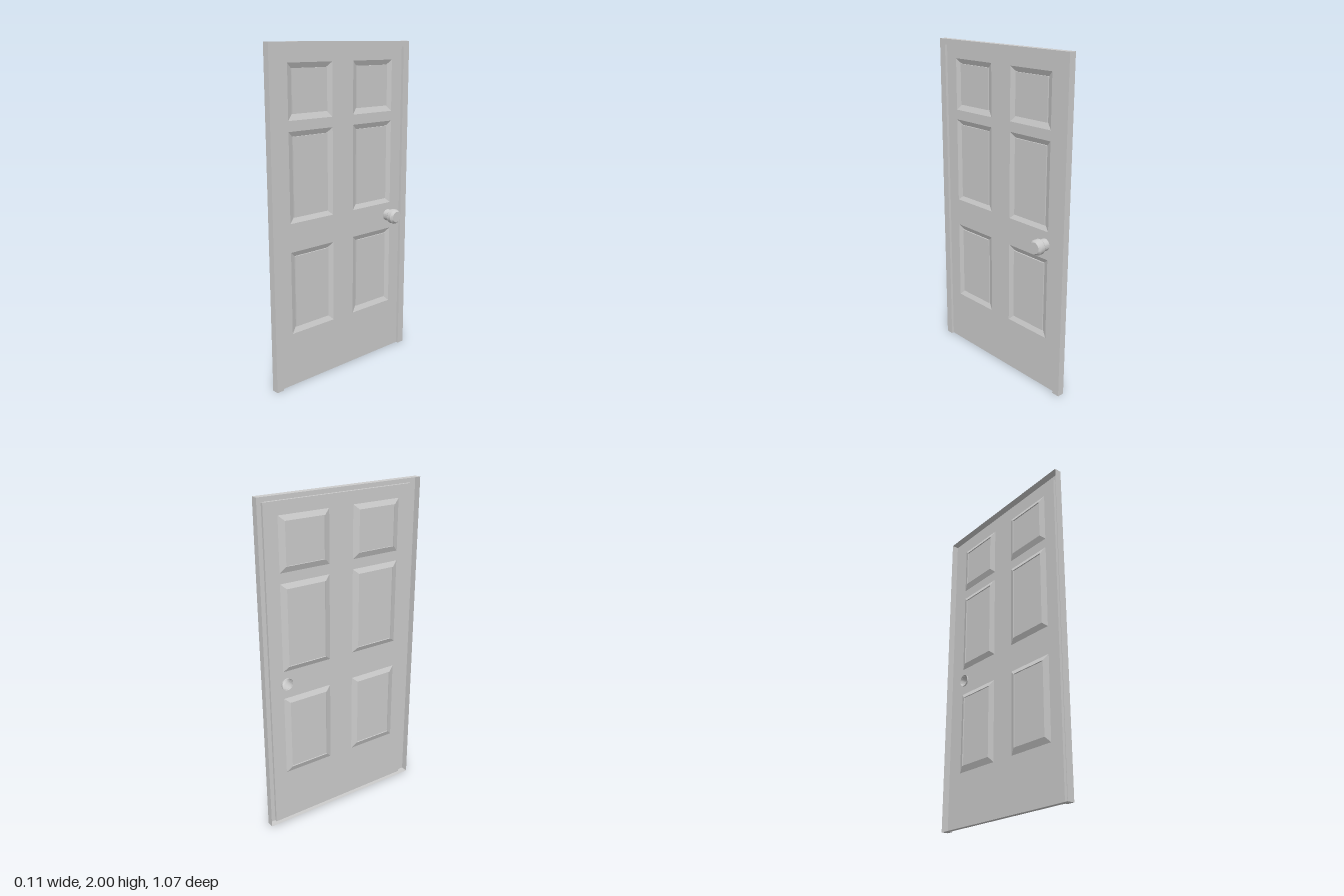
import * as THREE from 'three';
import { toCreasedNormals } from 'three/addons/utils/BufferGeometryUtils.js';

const material = new THREE.MeshStandardMaterial({ color: 0xcccccc, side: THREE.DoubleSide });

// Depths along x: open back, pressed door skin, groove, raised field, frame face
const BACK = -0.058, SKIN = -0.031, GROOVE = -0.045, FIELD = -0.037, FACE = -0.015;
const OUTER = { z0: -0.533, z1: 0.533, y0: 0, y1: 2 };
const INNER = { z0: -0.485, z1: 0.485, y0: 0, y1: 1.965 };
const KNOB = { y: 0.92, z: -0.378 };

// Corners of an upright rectangle at depth x, counter-clockwise seen from +x
const corners = (r, x) => [
  [x, r.y0, r.z1], [x, r.y0, r.z0], [x, r.y1, r.z0], [x, r.y1, r.z1],
];

// Flat geometry from a list of four-cornered faces
function fromQuads(quads) {
  const pos = quads.flatMap(([a, b, c, d]) => [a, b, c, a, c, d].flat());
  const geo = new THREE.BufferGeometry();
  geo.setAttribute('position', new THREE.Float32BufferAttribute(pos, 3));
  geo.computeVertexNormals();
  return geo;
}

// Band of faces joining two rectangles; sides: 0 bottom, 1 right, 2 top, 3 left
function band(a, b, sides = [0, 1, 2, 3]) {
  return sides.map((i) => {
    const j = (i + 1) % 4;
    return [a[i], a[j], b[j], b[i]];
  });
}

// Horizontal face on the ground, facing down
const sole = (x0, x1, z0, z1) => [[x0, 0, z0], [x1, 0, z0], [x1, 0, z1], [x0, 0, z1]];

function addMesh(parent, name, geometry) {
  const mesh = new THREE.Mesh(geometry, material);
  mesh.name = name;
  parent.add(mesh);
  return mesh;
}

// Rectangular hole path, with z mirrored into the shape's own axis
function rectPath(r) {
  return new THREE.Path([[-r.z1, r.y0], [-r.z1, r.y1], [-r.z0, r.y1], [-r.z0, r.y0]]
    .map(([u, v]) => new THREE.Vector2(u, v)));
}

export function createModel() {
  const model = new THREE.Group();
  model.name = 'door';

  // Frame: hollow channel, open at the back
  const jambs = [1, 2, 3];
  addMesh(model, 'frame', fromQuads([
    ...band(corners(OUTER, BACK), corners(OUTER, FACE), jambs),
    ...band(corners(OUTER, FACE), corners(INNER, FACE), jambs),
    ...band(corners(INNER, FACE), corners(INNER, SKIN), jambs),
    sole(SKIN, FACE, OUTER.z0, INNER.z0),
    sole(SKIN, FACE, INNER.z1, OUTER.z1),
  ]));
  addMesh(model, 'threshold', fromQuads([sole(BACK, SKIN, OUTER.z0, OUTER.z1)]));

  // Six panels: outer rectangle on the skin, inner rectangle around the field
  const rows = [
    { y0: 1.58, y1: 1.89, f0: 1.615, f1: 1.86 },
    { y0: 1.0, y1: 1.52, f0: 1.03, f1: 1.49 },
    { y0: 0.33, y1: 0.83, f0: 0.365, f1: 0.8 },
  ];
  const panels = rows.flatMap(({ y0, y1, f0, f1 }) => [-1, 1].map((s) => {
    const span = (a, b) => ({ z0: Math.min(s * a, s * b), z1: Math.max(s * a, s * b) });
    return {
      outer: { ...span(0.08, 0.4), y0, y1 },
      field: { ...span(0.115, 0.365), y0: f0, y1: f1 },
    };
  }));

  // Door skin with openings for the panels and the knob
  const skin = new THREE.Shape([
    [INNER.z0, 0], [INNER.z1, 0], [INNER.z1, INNER.y1], [INNER.z0, INNER.y1],
  ].map(([u, v]) => new THREE.Vector2(u, v)));
  panels.forEach((p) => skin.holes.push(rectPath(p.outer)));
  skin.holes.push(new THREE.Path().absarc(-KNOB.z, KNOB.y, 0.035, 0, Math.PI * 2, true));
  addMesh(model, 'doorSkin', new THREE.ShapeGeometry(skin, 24).rotateY(Math.PI / 2))
    .position.x = SKIN;

  // Each panel slopes into a groove, then steps up to a flat field
  for (const { outer, field } of panels) {
    addMesh(model, 'panel', fromQuads([
      ...band(corners(outer, SKIN), corners(field, GROOVE)),
      ...band(corners(field, GROOVE), corners(field, FIELD)),
      corners(field, FIELD),
    ]));
  }

  // Knob: hollow stem and chamfered head, turned about x
  const profile = [
    [0.036, -0.04], [0.036, 0.01], [0.043, 0.01], [0.046, 0.015],
    [0.046, 0.041], [0.034, 0.055], [0, 0.055],
  ].map(([r, h]) => new THREE.Vector2(r, h));
  const turned = new THREE.LatheGeometry(profile, 24).rotateZ(-Math.PI / 2);
  addMesh(model, 'knob', toCreasedNormals(turned, 0.5)).position.set(0, KNOB.y, KNOB.z);

  return model;
}
